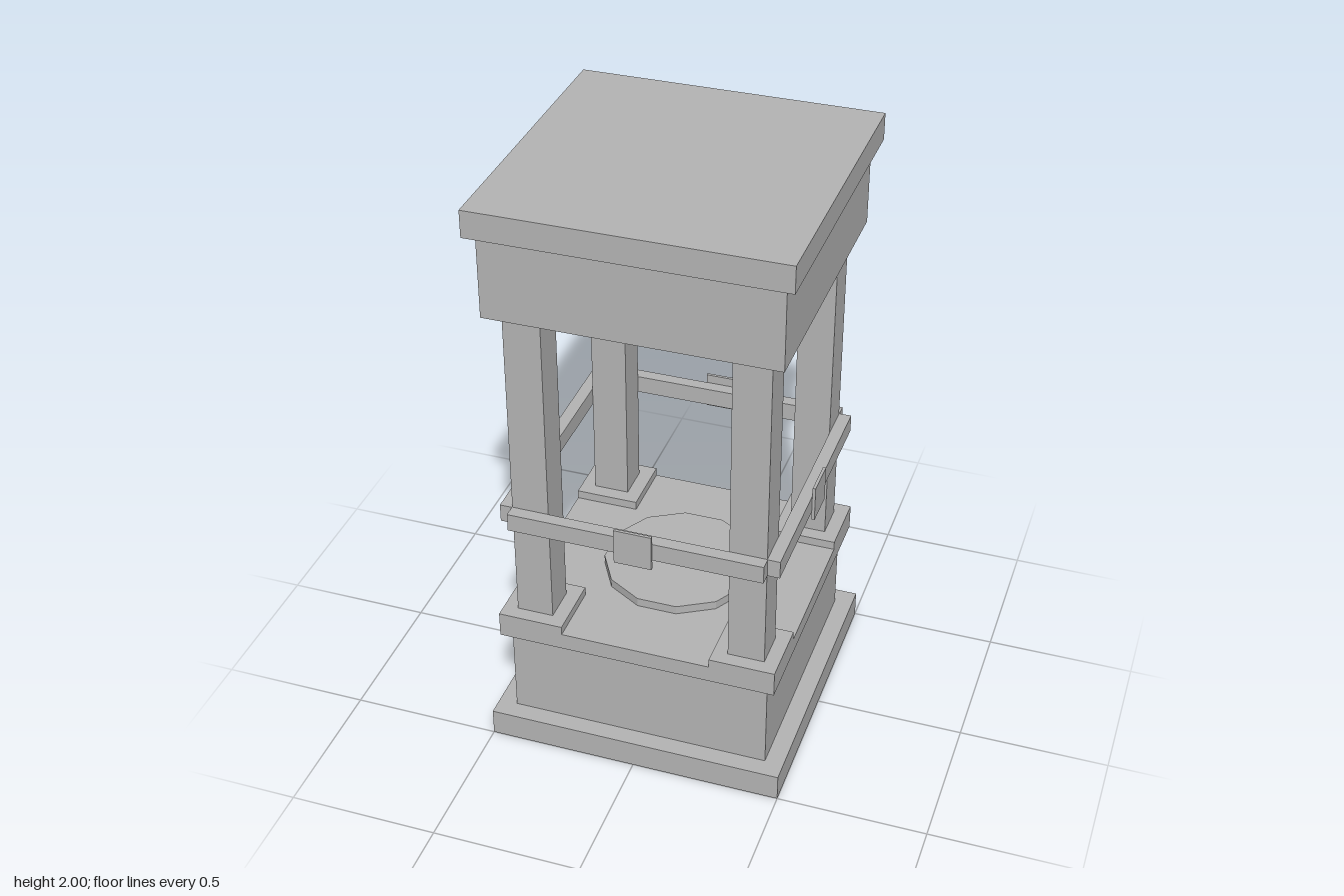
import * as THREE from 'three';

export function createModel() {
  const model = new THREE.Group();
  model.name = 'lanternPavilion';
  const stone = new THREE.MeshStandardMaterial({ color: 0xb3b3b3 });
  stone.name = 'grey stone';

  const add = (name, geometry, parent = model) => {
    const mesh = new THREE.Mesh(geometry, stone);
    mesh.name = name;
    parent.add(mesh);
    return mesh;
  };
  // Square block of a given width between two heights
  const block = (name, width, y0, y1, x = 0, z = 0) =>
    add(name, new THREE.BoxGeometry(width, y1 - y0, width)).position.set(x, (y0 + y1) / 2, z);
  // Faceted disc with flat sides facing the axes
  const disc = (name, apothem, sides, y0, y1) => {
    const radius = apothem / Math.cos(Math.PI / sides);
    const geometry = new THREE.CylinderGeometry(radius, radius, y1 - y0, sides).toNonIndexed();
    geometry.rotateY(Math.PI / sides);
    geometry.computeVertexNormals();
    add(name, geometry).position.y = (y0 + y1) / 2;
  };

  // Stepped base
  block('plinth', 1, 0, 0.093);
  block('baseBody', 0.875, 0.093, 0.412);
  block('floorSlab', 0.937, 0.412, 0.47);
  disc('floorDisc', 0.25, 12, 0.47, 0.5);

  // Corner pads and pillars
  for (const x of [-1, 1]) for (const z of [-1, 1]) {
    block('cornerPad', 0.218, 0.47, 0.5, x * 0.3595, z * 0.3595);
    block('pillar', 0.122, 0.5, 1.63, x * 0.36, z * 0.36);
  }

  // Roof
  block('roofBody', 0.937, 1.63, 1.91);
  block('roofCap', 1, 1.91, 2);
  disc('ceilingDisc', 0.16, 8, 1.6, 1.63);

  // Rail with a centre plate on each side
  for (let i = 0; i < 4; i++) {
    const side = new THREE.Group();
    side.name = 'railSide';
    side.rotation.y = (i * Math.PI) / 2;
    add('rail', new THREE.BoxGeometry(0.845, 0.062, 0.042), side).position.set(0, 0.88, 0.442);
    add('railPlate', new THREE.BoxGeometry(0.124, 0.124, 0.01), side).position.set(0, 0.88, 0.468);
    model.add(side);
  }
  return model;
}
